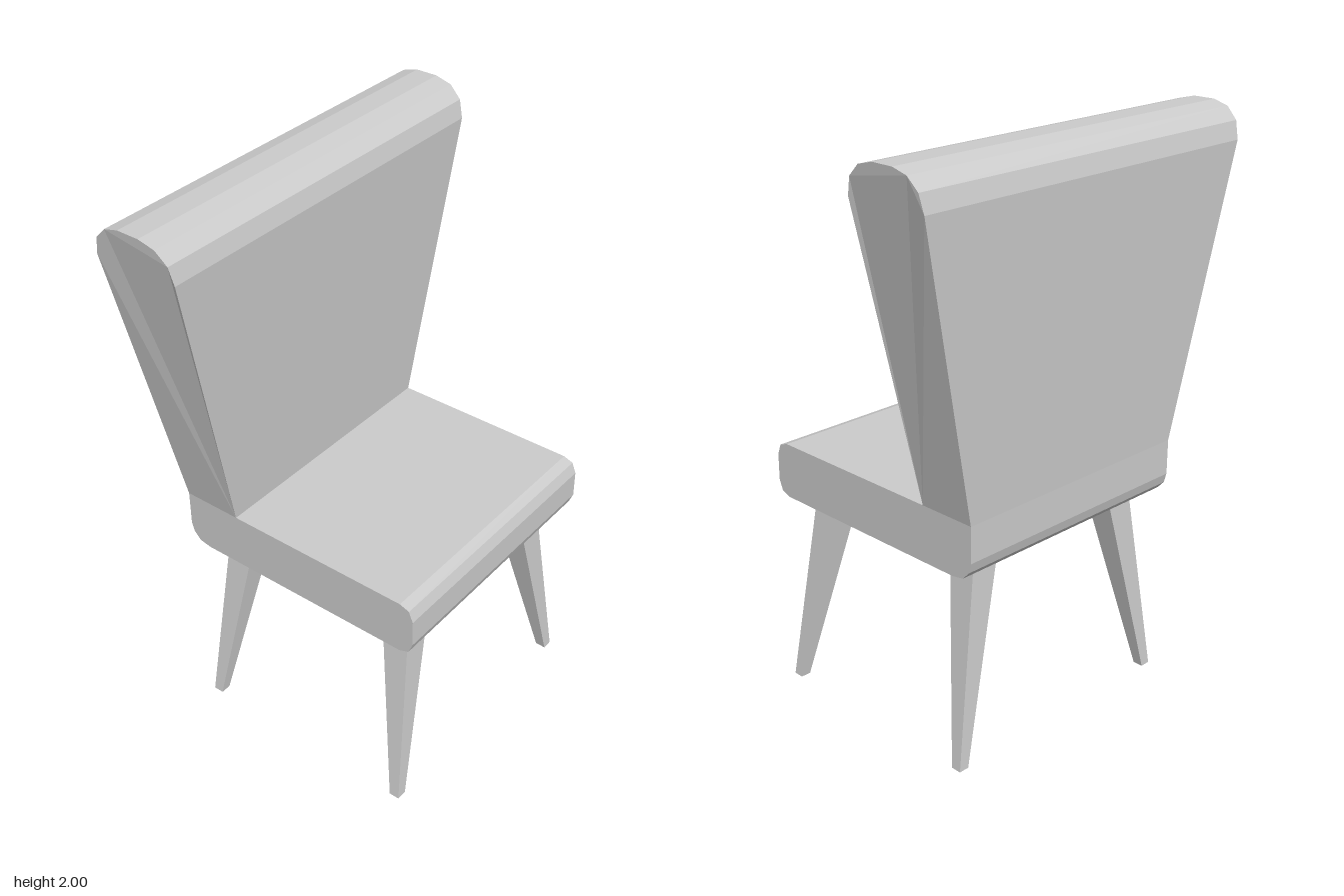
import * as THREE from 'three';

const material = new THREE.MeshStandardMaterial({ color: 0xcccccc, flatShading: true });

// Extrudes a side profile of [z, y] points across x; halfWidth(y) sets the reach to each side.
function sideExtrusion(name, profile, halfWidth) {
  const shape = new THREE.Shape(profile.map(([z, y]) => new THREE.Vector2(-z, y)));
  const geometry = new THREE.ExtrudeGeometry(shape, { depth: 2, bevelEnabled: false });
  geometry.translate(0, 0, -1).rotateY(Math.PI / 2); // shape x becomes -z, depth becomes x
  const p = geometry.attributes.position;
  for (let i = 0; i < p.count; i++) p.setX(i, Math.sign(p.getX(i)) * halfWidth(p.getY(i)));
  geometry.computeVertexNormals();
  const mesh = new THREE.Mesh(geometry, material);
  mesh.name = name;
  return mesh;
}

// Square leg tapering from its top centre to its foot centre.
function makeLeg(name, top, foot) {
  const height = 0.7;
  const geometry = new THREE.BoxGeometry(1, height, 1).translate(0, height / 2, 0);
  const p = geometry.attributes.position;
  for (let i = 0; i < p.count; i++) {
    const end = p.getY(i) > 0.1 ? top : foot;
    p.setX(i, end.x + p.getX(i) * end.size);
    p.setZ(i, end.z + p.getZ(i) * end.size);
  }
  geometry.computeVertexNormals();
  const mesh = new THREE.Mesh(geometry, material);
  mesh.name = name;
  return mesh;
}

export function createModel() {
  const chair = new THREE.Group();
  chair.name = 'chair';

  // Seat cushion with rounded front edge and rounded lower rear edge
  chair.add(sideExtrusion('seat', [
    [-0.44, 0.89], [-0.44, 0.765], [-0.43, 0.73], [-0.405, 0.703], [-0.36, 0.695],
    [0.44, 0.695], [0.475, 0.708], [0.49, 0.745],
    [0.49, 0.84], [0.475, 0.878], [0.44, 0.89],
  ], () => 0.468));

  // Backrest, flaring upward to a rounded top
  chair.add(sideExtrusion('backrest', [
    [-0.44, 0.89], [-0.23, 0.89], [-0.183, 1.885], [-0.198, 1.945], [-0.24, 1.985], [-0.3, 2],
    [-0.38, 2], [-0.435, 1.985], [-0.475, 1.945], [-0.49, 1.885],
  ], (y) => (y < 1.885
    ? THREE.MathUtils.mapLinear(y, 0.89, 1.885, 0.468, 0.685)
    : THREE.MathUtils.mapLinear(y, 1.885, 2, 0.685, 0.697))));

  // Four splayed legs
  for (const [side, s] of [['Left', 1], ['Right', -1]]) {
    chair.add(makeLeg(`front${side}Leg`,
      { x: s * 0.32, z: 0.352, size: 0.105 }, { x: s * 0.457, z: 0.43, size: 0.037 }));
    chair.add(makeLeg(`rear${side}Leg`,
      { x: s * 0.32, z: -0.302, size: 0.105 }, { x: s * 0.457, z: -0.377, size: 0.037 }));
  }
  return chair;
}
